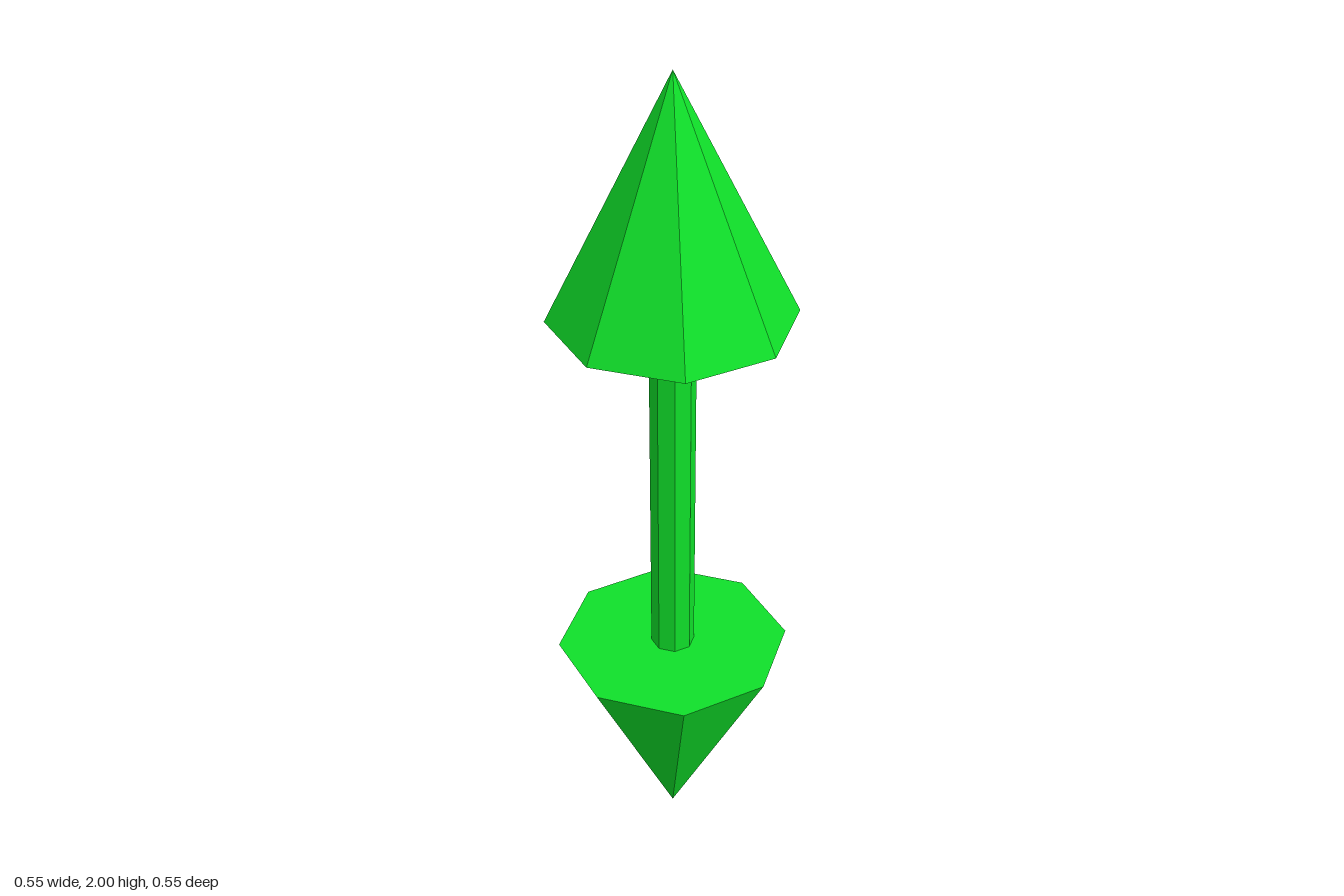
import * as THREE from 'three';

export function createModel() {
  const group = new THREE.Group();
  const green = new THREE.MeshStandardMaterial({ color: 0x10e02a, flatShading: true });
  const sides = 8;

  const add = (name, geometry, y) => {
    const mesh = new THREE.Mesh(geometry, green);
    mesh.name = name;
    mesh.position.y = y;
    group.add(mesh);
    return mesh;
  };

  // Octagonal shaft, its ends set just inside the arrowheads
  add('shaft', new THREE.CylinderGeometry(0.052, 0.052, 0.92, sides), 1.005);

  // Arrowhead pointing up
  add('upperArrowhead', new THREE.ConeGeometry(0.274, 0.546, sides), 1.727);

  // Arrowhead pointing down, standing on its tip
  add('lowerArrowhead', new THREE.ConeGeometry(0.277, 0.556, sides), 0.278).rotation.x = Math.PI;

  return group;
}
